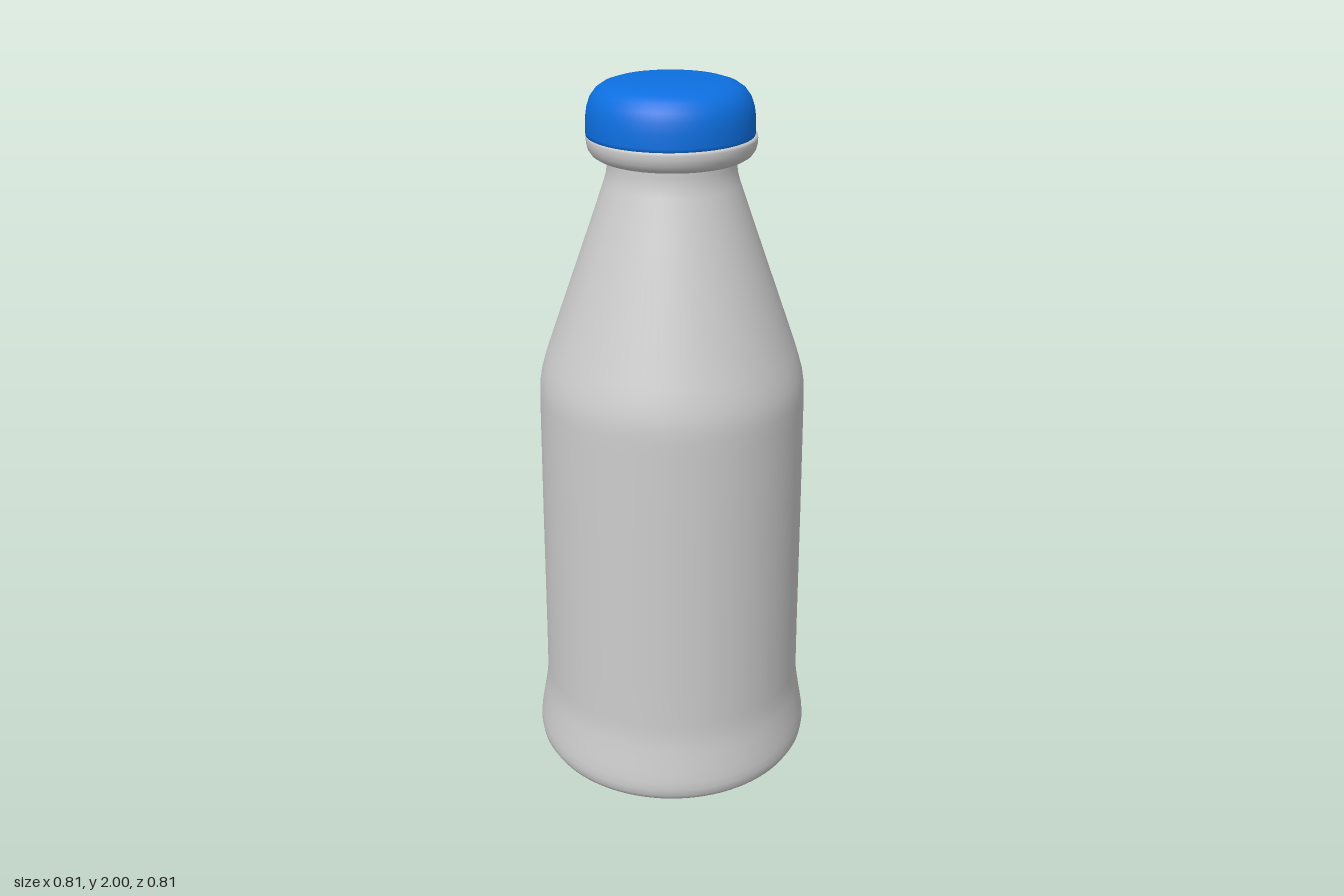
import * as THREE from 'three';

const SEGMENTS = 96;

// Revolve a [radius, height] profile, listed from bottom to top
function turned(name, profile, material) {
  const points = profile.map(([r, y]) => new THREE.Vector2(r, y));
  const mesh = new THREE.Mesh(new THREE.LatheGeometry(points, SEGMENTS), material);
  mesh.name = name;
  return mesh;
}

export function createModel() {
  const group = new THREE.Group();
  group.name = 'bottle';
  const grey = new THREE.MeshStandardMaterial({ color: 0xcccccc });
  const blue = new THREE.MeshStandardMaterial({ color: 0x0d6fe0 });

  // Flared foot, nearly straight wall, tapered shoulder and short neck
  group.add(turned('body', [
    [0, 0], [0.3, 0], [0.345, 0.004], [0.375, 0.011], [0.393, 0.022], [0.402, 0.038],
    [0.405, 0.06], [0.403, 0.085], [0.398, 0.115], [0.391, 0.155], [0.385, 0.19],
    [0.381, 0.22], [0.379, 0.26], [0.377, 0.4], [0.373, 0.8], [0.369, 1.1],
    [0.368, 1.15], [0.366, 1.18], [0.361, 1.21], [0.352, 1.242], [0.34, 1.28],
    [0.227, 1.6], [0.18, 1.735], [0.173, 1.76], [0.17, 1.785], [0.17, 1.84],
  ], grey));

  // Rounded collar under the cap
  group.add(turned('collar', [
    [0.165, 1.8], [0.18, 1.801], [0.197, 1.805], [0.21, 1.813], [0.219, 1.826],
    [0.223, 1.842], [0.223, 1.854], [0.222, 1.86], [0.216, 1.862], [0, 1.862],
  ], grey));

  // Domed cap, seated very slightly off-centre
  const cap = turned('cap', [
    [0, 1.858], [0.214, 1.858], [0.22, 1.861], [0.221, 1.87], [0.22, 1.905],
    [0.216, 1.932], [0.208, 1.955], [0.194, 1.974], [0.175, 1.987],
    [0.15, 1.995], [0.115, 1.999], [0.07, 2], [0, 2],
  ], blue);
  cap.position.x = -0.004;
  group.add(cap);

  return group;
}
